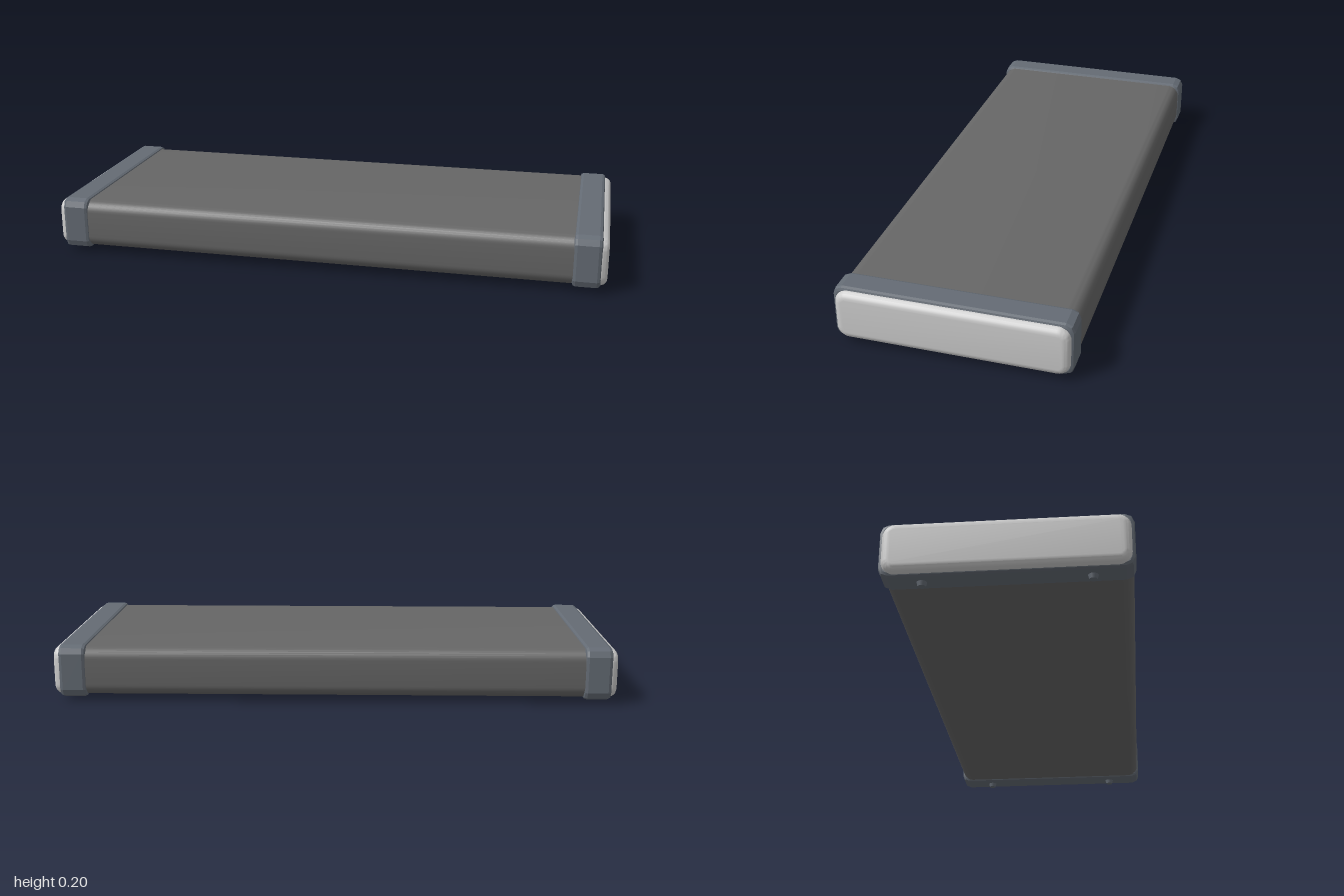
import * as THREE from 'three';
import { toCreasedNormals } from 'three/addons/utils/BufferGeometryUtils.js';

const bodyMat = new THREE.MeshStandardMaterial({ color: 0x666666 });
const bandMat = new THREE.MeshStandardMaterial({ color: 0x646b74 });
const capMat = new THREE.MeshStandardMaterial({ color: 0xcccccc });

// Rounded rectangle in the z/y plane, extruded along x from x0 to x1
function bar(name, material, { x0, x1, y0, y1, halfZ, r, segments, bevel = 0, bevelSegments = 1, crease }) {
  const a = halfZ - r, b = (y1 - y0) / 2 - r, q = Math.PI / 2;
  const shape = new THREE.Shape();
  shape.absarc(a, b, r, 0, q);
  shape.absarc(-a, b, r, q, 2 * q);
  shape.absarc(-a, -b, r, 2 * q, 3 * q);
  shape.absarc(a, -b, r, 3 * q, 4 * q);
  shape.closePath();
  const geometry = new THREE.ExtrudeGeometry(shape, {
    depth: x1 - x0 - 2 * bevel,
    curveSegments: segments,
    bevelEnabled: bevel > 0,
    bevelThickness: bevel,
    bevelSize: bevel,
    bevelOffset: -bevel,
    bevelSegments,
  });
  geometry.translate(0, 0, bevel);
  geometry.rotateY(Math.PI / 2);
  geometry.translate(x0, (y0 + y1) / 2, 0);
  const mesh = new THREE.Mesh(toCreasedNormals(geometry, crease), material);
  mesh.name = name;
  return mesh;
}

// One end: dark band, light end cap and two small feet
function createEnd(name) {
  const end = new THREE.Group();
  end.name = name;
  end.add(bar('endBand', bandMat, {
    x0: 0.882, x1: 0.978, y0: 0.015, y1: 0.205, halfZ: 0.4, r: 0.03, segments: 1,
    bevel: 0.012, bevelSegments: 2, crease: 0.3,
  }));
  end.add(bar('endCap', capMat, {
    x0: 0.92, x1: 1, y0: 0.021, y1: 0.196, halfZ: 0.39, r: 0.042, segments: 4,
    bevel: 0.025, bevelSegments: 5, crease: 0.6,
  }));
  for (const z of [-0.267, 0.267]) {
    const foot = new THREE.Mesh(new THREE.CylinderGeometry(0.018, 0.013, 0.02, 16), bandMat);
    foot.name = 'foot';
    foot.position.set(0.928, 0.01, z);
    end.add(foot);
  }
  return end;
}

export function createModel() {
  const model = new THREE.Group();
  model.name = 'flatEnclosure';

  // Long main housing with rounded edges
  model.add(bar('housing', bodyMat, {
    x0: -0.93, x1: 0.93, y0: 0.022, y1: 0.198, halfZ: 0.394, r: 0.042, segments: 4, crease: 0.6,
  }));

  // Matching ends, turned half round for the right side
  model.add(createEnd('leftEnd'));
  const rightEnd = createEnd('rightEnd');
  rightEnd.rotation.y = Math.PI;
  model.add(rightEnd);
  return model;
}
